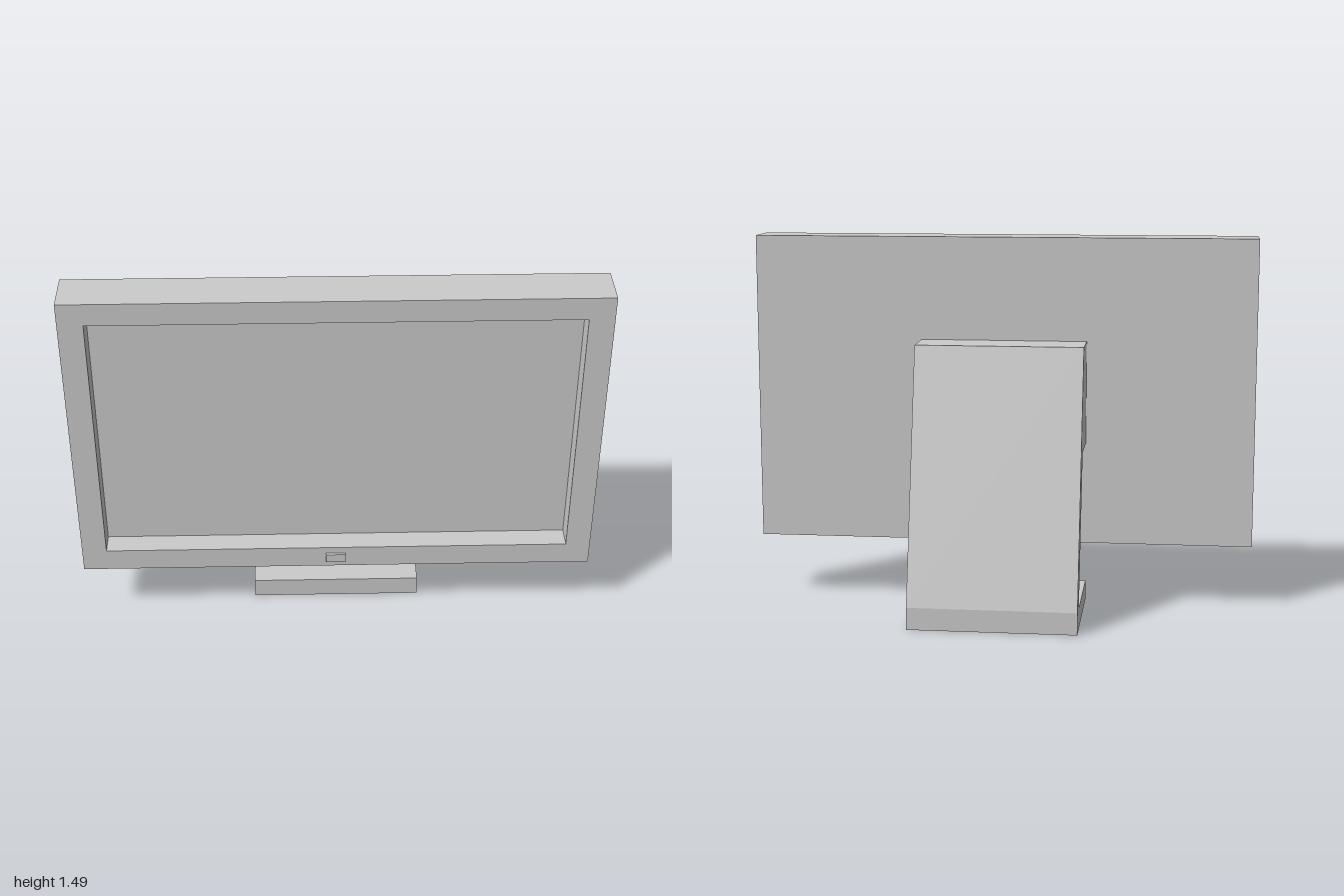
import * as THREE from 'three';

const material = new THREE.MeshStandardMaterial({ color: 0xcccccc, flatShading: true });

function addPart(group, name, geometry) {
  const mesh = new THREE.Mesh(geometry, material);
  mesh.name = name;
  group.add(mesh);
  return mesh;
}

// Closed rectangle as a list of corners
function rectangle(x, y0, y1) {
  return [[-x, y0], [x, y0], [x, y1], [-x, y1]].map(([a, b]) => new THREE.Vector2(a, b));
}

export function createModel() {
  const model = new THREE.Group();
  model.name = 'monitor';

  const back = 0.128, front = 0.302, panel = 0.215;

  // Rear housing, whose front face is the sunken screen
  addPart(model, 'housing', new THREE.BoxGeometry(2, 1.23, panel - back))
    .position.set(0, 0.87, (back + panel) / 2);

  // Bezel around the screen
  const bezel = new THREE.Shape(rectangle(1, 0.255, 1.485));
  bezel.holes.push(new THREE.Path(rectangle(0.905, 0.347, 1.395)));
  addPart(model, 'bezel', new THREE.ExtrudeGeometry(bezel, { depth: front - panel, bevelEnabled: false }))
    .position.z = panel;

  // Power button on the lower bezel
  addPart(model, 'powerButton', new THREE.BoxGeometry(0.077, 0.038, 0.022))
    .position.set(-0.003, 0.3, 0.302);

  // Stand: foot, leaning neck and mounting block as one side profile (z, y)
  const profile = [
    [0.187, 0], [0.187, 0.08], [-0.232, 0.08], [-0.075, 0.665], [0.126, 0.665],
    [0.126, 1.075], [-0.052, 1.075], [-0.312, 0.088], [-0.312, 0],
  ].map(([z, y]) => new THREE.Vector2(z, y));
  const width = 0.662;
  const stand = new THREE.ExtrudeGeometry(new THREE.Shape(profile), { depth: width, bevelEnabled: false });
  stand.translate(0, 0, -width / 2).rotateY(-Math.PI / 2);
  addPart(model, 'stand', stand);

  return model;
}
